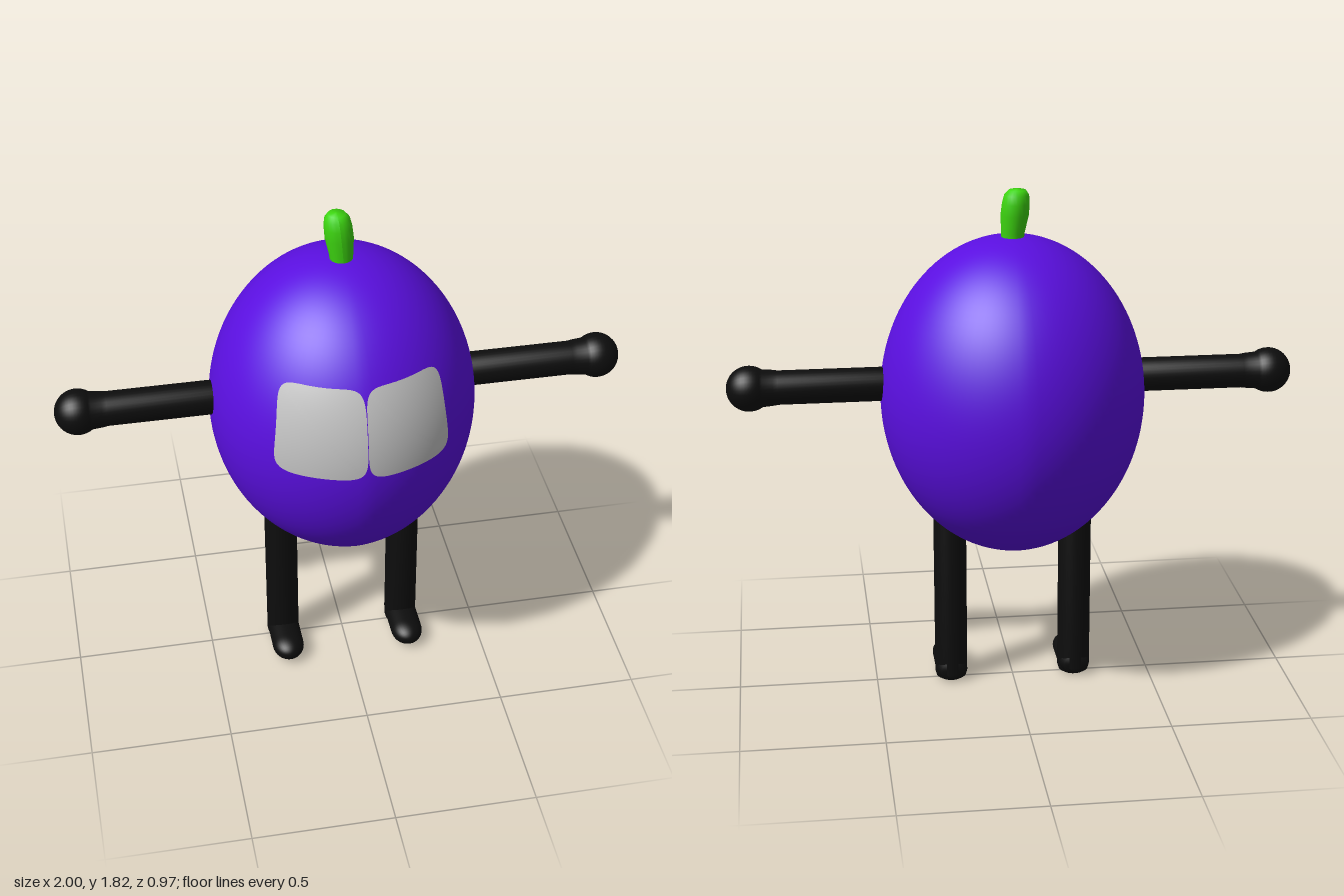
import * as THREE from 'three';

const flat = (name, color, side = THREE.FrontSide) => {
  const m = new THREE.MeshStandardMaterial({ color, side });
  m.name = name;
  return m;
};

// Body half-sizes and centre height
const RX = 0.465, RY = 0.567, CY = 1.088;

// Soft vertical ridge along the front and back middle
const ridge = (x) => 1 + 0.035 * Math.max(0, 1 - Math.abs(x) / 0.32);
const bodyZ = (x, y) =>
  RX * Math.sqrt(Math.max(0, 1 - (x / RX) ** 2 - ((y - CY) / RY) ** 2)) * ridge(x);

function reshape(geometry, rule) {
  const p = geometry.attributes.position;
  const v = new THREE.Vector3();
  for (let i = 0; i < p.count; i++) {
    rule(v.fromBufferAttribute(p, i));
    p.setXYZ(i, v.x, v.y, v.z);
  }
  geometry.computeVertexNormals();
  return geometry;
}

const lathe = (points, segments = 32) =>
  new THREE.LatheGeometry(points.map(([r, y]) => new THREE.Vector2(r, y)), segments);

// Points of a dome from angle a0 to the pole
function dome(r, h, y, a0 = 0, steps = 10) {
  const pts = [];
  for (let i = 0; i <= steps; i++) {
    const a = a0 + (Math.PI / 2 - a0) * (i / steps);
    pts.push([i === steps ? 0 : r * Math.cos(a), y + h * Math.sin(a)]);
  }
  return pts;
}

// Rounded panel wrapped over the front of the body
function eyeGeometry(side) {
  return reshape(new THREE.PlaneGeometry(2, 2, 28, 28), (v) => {
    const m = Math.max(Math.abs(v.x), Math.abs(v.y));
    if (m > 0) {
      const n = 6;
      const k = m / (Math.abs(v.x) ** n + Math.abs(v.y) ** n) ** (1 / n);
      v.multiplyScalar(k);
    }
    const halfWidth = 0.152 - 0.009 * (v.y + 1);
    v.x = side * (0.001 + halfWidth * (side * v.x + 1));
    v.y = 1.243 + 0.158 * v.y;
    v.z = bodyZ(v.x, v.y) + 0.004;
  });
}

export function createModel() {
  const purple = flat('purple skin', 0x5a0fe0);
  const black = flat('black limbs', 0x0d0d0d);
  const grey = flat('pale grey eyes', 0xc4c4c4, THREE.DoubleSide);
  const green = flat('green stem', 0x3dd610);

  const model = new THREE.Group();
  model.name = 'fruitFigure';
  const add = (parent, name, geometry, material) => {
    const mesh = new THREE.Mesh(geometry, material);
    mesh.name = name;
    parent.add(mesh);
    return mesh;
  };

  // Body
  add(model, 'body', reshape(new THREE.SphereGeometry(1, 96, 64), (v) => {
    v.set(v.x * RX, CY + v.y * RY, v.z * RX);
    v.z *= ridge(v.x);
  }), purple);

  // Stem, leaning slightly back and to the right
  const stem = lathe([[0.038, 1.63], [0.041, 1.67], [0.049, 1.73],
    [0.048, 1.77], [0.043, 1.8], [0.03, 1.817], [0, 1.821]], 24);
  add(model, 'stem', reshape(stem, (v) => {
    const t = Math.max(0, (v.y - 1.65) / 0.17);
    v.x -= 0.015 * t;
    v.z -= 0.013 * t;
  }), green);

  // Arm with its hand: one profile, narrow shaft flowing into a ball
  const armProfile = [[0, 0.38], [0.06, 0.38], [0.06, 0.82], [0.063, 0.84],
    ...dome(0.08, 0.08, 0.92, -0.6, 16)];

  // Foot: blunt heel, rounded toe
  const footProfile = [[0, -0.055], [0.042, -0.055], [0.054, -0.035], [0.058, 0],
    [0.058, 0.11], ...dome(0.058, 0.07, 0.12)];

  for (const side of [1, -1]) {
    const label = side > 0 ? 'left' : 'right';

    add(model, label + 'Eye', eyeGeometry(side), grey);

    const arm = add(model, label + 'Arm', lathe(armProfile), black);
    arm.rotation.z = -side * Math.PI / 2;
    arm.position.y = 1.14;

    const leg = new THREE.Group();
    leg.name = label + 'Leg';
    leg.position.x = side * 0.227;
    model.add(leg);
    // Shank with a slightly rounded lower rim
    add(leg, 'shank', lathe([[0, 0.003], [0.04, 0.003], [0.054, 0.012], [0.059, 0.03],
      [0.059, 0.69], [0, 0.69]]), black);
    const foot = add(leg, 'foot', lathe(footProfile)
      .rotateX(Math.PI / 2).scale(1, 0.76, 1), black);
    foot.position.y = 0.046;
  }

  return model;
}
